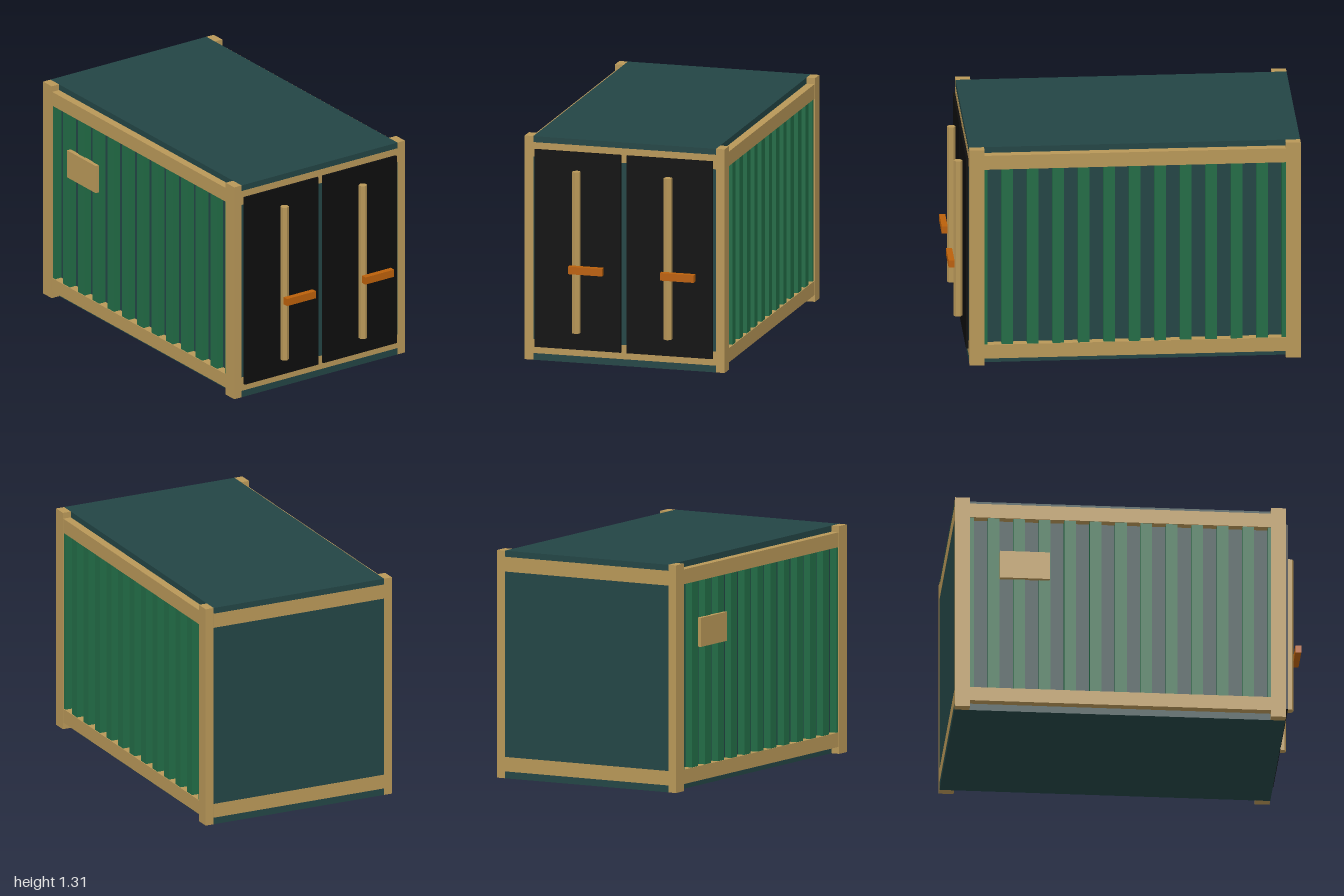
import * as THREE from 'three';

export function createModel() {
  const root = new THREE.Group();
  root.name = 'shippingContainer';
  const mat = (name, color) => {
    const m = new THREE.MeshStandardMaterial({ color });
    m.name = name;
    return m;
  };
  const teal = mat('darkTeal', 0x234545);
  const green = mat('green', 0x226c46);
  const gold = mat('tan', 0xb89758);
  const black = mat('black', 0x0d0d0d);
  const orange = mat('orange', 0xbb600a);

  // Box given by its minimum and maximum on each axis
  const box = (name, material, x0, x1, y0, y1, z0, z1) => {
    const mesh = new THREE.Mesh(new THREE.BoxGeometry(x1 - x0, y1 - y0, z1 - z0), material);
    mesh.position.set((x0 + x1) / 2, (y0 + y1) / 2, (z0 + z1) / 2);
    mesh.name = name;
    root.add(mesh);
    return mesh;
  };

  const X0 = -1, X1 = 0.89, H = 1.31;
  const ZC = -0.0075, WALL = 0.543; // centre line and half width of the body
  box('body', teal, X0, X1, 0, H, ZC - WALL, ZC + WALL);

  // Box standing out from a long wall, side = 1 front or -1 back
  const onWall = (name, material, side, x0, x1, y0, y1, depth) => {
    const a = ZC + side * WALL, b = ZC + side * (WALL + depth);
    return box(name, material, x0, x1, y0, y1, Math.min(a, b), Math.max(a, b));
  };

  const railHeights = [[0.04, 0.123], [1.19, 1.275]];
  for (const side of [1, -1]) {
    // Corner posts
    onWall('cornerPost', gold, side, X0, -0.915, 0, H, 0.051);
    onWall('cornerPost', gold, side, 0.805, X1, 0, H, 0.051);
    // Long rails
    for (const [y0, y1] of railHeights) onWall('sideRail', gold, side, -0.915, 0.805, y0, y1, 0.048);
    // Corrugation ribs
    for (let i = 0; i < 13; i++) {
      const x = -0.925 + i * 0.1454;
      onWall('wallRib', green, side, Math.max(x - 0.033, -0.915), Math.min(x + 0.033, 0.805), 0.123, 1.19, 0.043);
    }
  }

  // End rails, a hair proud of the end walls
  for (const [y0, y1] of railHeights) {
    box('endRail', gold, X0 - 0.001, X0 + 0.02, y0, y1, ZC - WALL, ZC + WALL);
    box('endRail', gold, X1 - 0.02, X1 + 0.001, y0, y1, ZC - WALL, ZC + WALL);
  }

  // Plate on the front wall
  box('signPlate', gold, -0.745, -0.46, 0.81, 0.977, 0.574, 0.6);

  // Doors with hexagonal lock bars and handles
  for (const z of [0.267, -0.278]) {
    box('door', black, 0.893, 0.906, 0.08, 1.237, z - 0.256, z + 0.256);
    const bar = new THREE.Mesh(new THREE.CylinderGeometry(0.025, 0.025, 0.945, 6), gold);
    bar.material.flatShading = true;
    bar.rotation.y = Math.PI / 2;
    bar.position.set(0.934, 0.658, z);
    bar.name = 'lockBar';
    root.add(bar);
    box('handle', orange, 0.966, 1, 0.543, 0.587, z - 0.172, z + 0.029);
  }
  return root;
}
